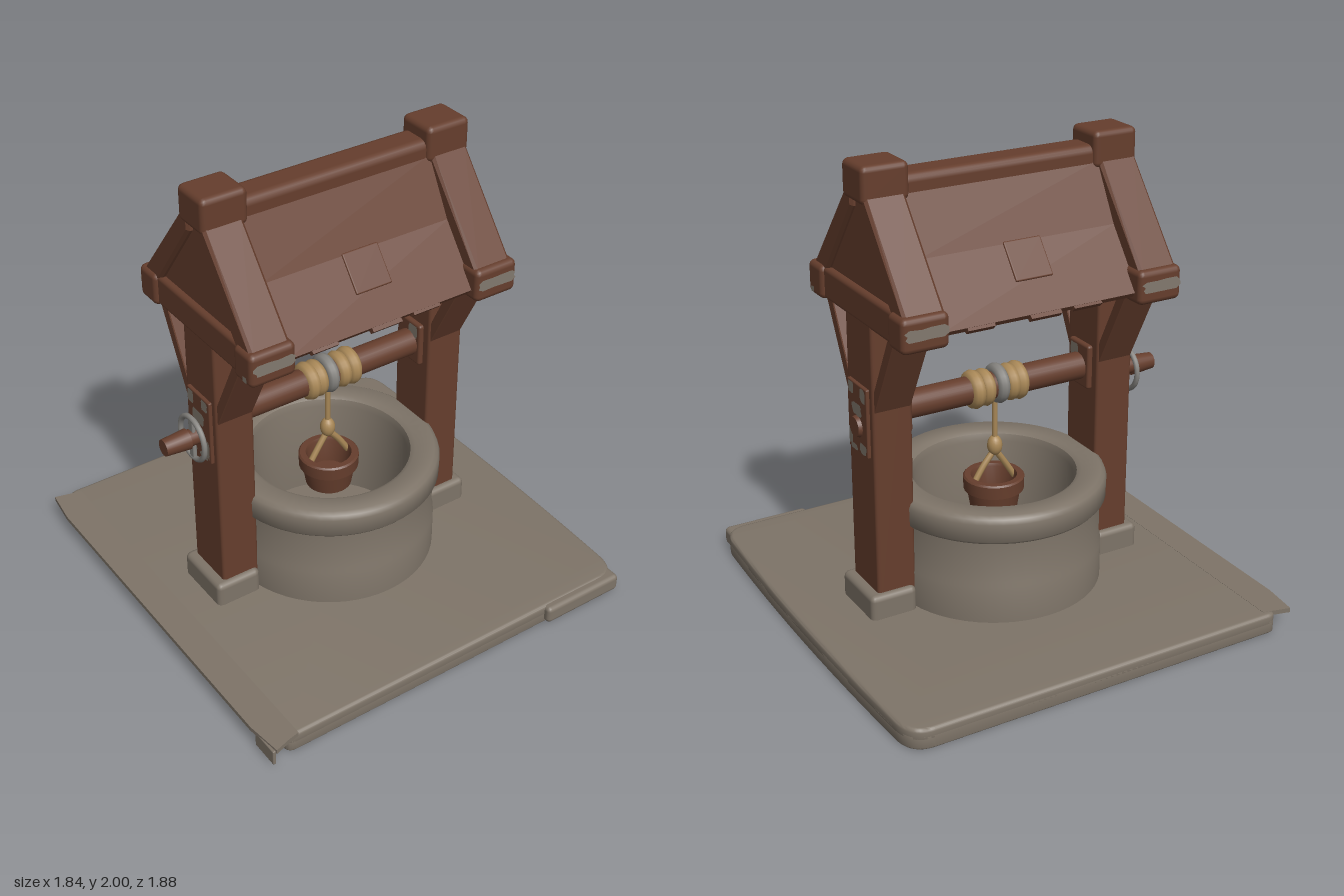
import * as THREE from 'three';
import { toCreasedNormals } from 'three/addons/utils/BufferGeometryUtils.js';
import { RoundedBoxGeometry } from 'three/addons/geometries/RoundedBoxGeometry.js';

const material = (name, color, extra = {}) => new THREE.MeshStandardMaterial({ name, color, ...extra });

export function createModel() {
  const wood = material('wood', 0x663e2d);
  const stone = material('stone', 0x7e7468);
  const metal = material('metal', 0x85837f);
  const rope = material('rope', 0xa98857);
  const worn = material('worn paint', 0x82796e, { side: THREE.DoubleSide });

  const model = new THREE.Group();
  model.name = 'well';
  const well = new THREE.Group();
  well.name = 'wellStructure';
  well.position.z = -0.015;
  model.add(well);

  let seed = 7;
  const random = () => (seed = (seed * 16807) % 2147483647) / 2147483647;

  function add(name, geometry, mat, parent = well) {
    const mesh = new THREE.Mesh(geometry, mat);
    mesh.name = name;
    parent.add(mesh);
    return mesh;
  }
  function box(name, mat, [x, y, z], [w, h, d], r = 0.02, parent = well) {
    const mesh = add(name, new RoundedBoxGeometry(w, h, d, 2, r), mat, parent);
    mesh.position.set(x, y, z);
    return mesh;
  }
  // Prism running along x, with a cross-section of [z, y] points
  function prism(name, mat, points, x0, x1, bevel = 0, parent = well) {
    const shape = new THREE.Shape(points.map(([z, y]) => new THREE.Vector2(-z, y)));
    const geo = new THREE.ExtrudeGeometry(shape, {
      depth: x1 - x0 - 2 * bevel, bevelEnabled: bevel > 0, bevelSize: bevel,
      bevelThickness: bevel, bevelOffset: -bevel, bevelSegments: 1,
    });
    geo.translate(0, 0, bevel).rotateY(Math.PI / 2).translate(x0, 0, 0);
    return add(name, geo, mat, parent);
  }
  // Cylinder along x
  function rod(name, mat, x0, x1, y, r, r2 = r) {
    const geo = new THREE.CylinderGeometry(r2, r, x1 - x0, 24).rotateZ(-Math.PI / 2);
    const mesh = add(name, geo, mat);
    mesh.position.set((x0 + x1) / 2, y, 0);
  }
  // Ring around the x axis
  function ring(name, mat, [x, y, z], radius, thick) {
    const mesh = add(name, new THREE.TorusGeometry(radius, thick, 10, 28).rotateY(Math.PI / 2), mat);
    mesh.position.set(x, y, z);
  }
  function tube(name, points, r) {
    const curve = new THREE.CatmullRomCurve3(points.map((p) => new THREE.Vector3(...p)));
    add(name, new THREE.TubeGeometry(curve, 12, r, 8), rope);
  }
  // Irregular flat patch of worn paint
  function patch(w, h, pos, rot, parent = well) {
    const pts = [];
    for (let i = 0; i < 14; i++) {
      const a = (i / 14) * Math.PI * 2, k = 0.8 + 0.4 * random();
      const sq = 1 / Math.max(Math.abs(Math.cos(a)), Math.abs(Math.sin(a)));
      const f = 0.5 * Math.min(k * sq, sq);
      pts.push(new THREE.Vector2(Math.cos(a) * w * f, Math.sin(a) * h * f));
    }
    const mesh = add('wornPatch', new THREE.ShapeGeometry(new THREE.Shape(pts)), worn, parent);
    mesh.position.set(...pos);
    mesh.rotation.set(...rot);
  }

  // Base slab outline, shrunk by m, with rounded right corners and a bowed right side
  function slabOutline(m, Type) {
    const [l, r, b, t, c] = [-0.83 + m, 0.9 - m, -0.91 + m, 0.94 - m, 0.11];
    const s = new Type();
    s.moveTo(l + 0.04, b).lineTo(r - c, b).quadraticCurveTo(r - 0.01, b, r, b + c);
    s.quadraticCurveTo(r + 0.04, (b + t) / 2, r, t - c).quadraticCurveTo(r - 0.01, t, r - c, t);
    s.lineTo(l + 0.04, t).quadraticCurveTo(l, t, l, t - 0.04);
    s.lineTo(l, b + 0.04).quadraticCurveTo(l, b, l + 0.04, b);
    return s;
  }
  function slabMesh(name, shape, y0, y1, bevel) {
    const geo = new THREE.ExtrudeGeometry(shape, {
      depth: y1 - y0 - 2 * bevel, bevelSize: bevel, bevelThickness: bevel, bevelOffset: -bevel, bevelSegments: 3,
    }).translate(0, 0, y0 + bevel).rotateX(-Math.PI / 2);
    add(name, toCreasedNormals(geo, 0.6), stone, model);
  }
  // Slab top, and the rim that leaves its underside hollow
  slabMesh('baseSlab', slabOutline(0, THREE.Shape), 0.03, 0.088, 0.015);
  const rim = slabOutline(0, THREE.Shape);
  rim.holes.push(slabOutline(0.045, THREE.Path));
  slabMesh('baseRim', rim, 0, 0.06, 0.006);
  const under = add('undersideDisc', new THREE.CylinderGeometry(0.4, 0.37, 0.02, 48), stone);
  under.position.y = 0.03;

  // Overhanging left strip with a drooping edge, flared at its ends
  const strip = new THREE.Shape();
  strip.moveTo(-0.9, 0.94).lineTo(-0.78, 0.91).lineTo(-0.78, -0.91).lineTo(-0.83, -0.92)
    .lineTo(-0.9, -0.94).lineTo(-0.92, -0.78).lineTo(-0.92, 0.78);
  add('baseEdgeStrip', new THREE.ExtrudeGeometry(strip, { depth: 0.02, bevelEnabled: false })
    .rotateX(-Math.PI / 2).translate(0, 0.069, 0), stone, model);
  box('stripLip', stone, [-0.907, 0.045, 0.87], [0.015, 0.07, 0.13], 0.005, model);
  box('frontCornerSlab', stone, [0.68, 0.045, 0.86], [0.4, 0.08, 0.16], 0.02, model);

  // Round stone well with an open shaft
  const wall = [[0.463, 0.07], [0.463, 0.25], [0.455, 0.27], [0.455, 0.46], [0.47, 0.46], [0.48, 0.472],
    [0.482, 0.55], [0.474, 0.57], [0.457, 0.582], [0.375, 0.582], [0.355, 0.57], [0.345, 0.54],
    [0.345, 0.1], [0, 0.1]].map((p) => new THREE.Vector2(...p));
  add('wellWall', toCreasedNormals(new THREE.LatheGeometry(wall, 56), 0.7), stone);

  // Post, foot, gable and fittings at each end
  for (const s of [-1, 1]) {
    const x = s * 0.53;
    box('postFoot', stone, [s * 0.555, 0.13, 0], [0.21, 0.13, 0.285], 0.025);
    box('post', wood, [x, 0.79, 0], [0.175, 1.3, 0.23], 0.015);
    box('tieBeam', wood, [x, 1.43, 0], [0.18, 0.14, 0.74], 0.02);
    box('ridgeBlock', wood, [s * 0.522, 1.925, 0], [0.205, 0.155, 0.185], 0.025);
    prism('gablePanel', wood, [[-0.33, 1.46], [0.33, 1.46], [0.05, 1.86], [-0.05, 1.86]], x - 0.065, x + 0.065);
    for (const f of [-1, 1]) {
      const side = (points) => points.map(([z, y]) => [z * f, y]);
      box('eaveBlock', wood, [s * 0.533, 1.43, f * 0.355], [0.205, 0.145, 0.13], 0.025);
      prism('rafter', wood, side([[0.09, 1.88], [0.4, 1.49], [0.3, 1.46], [0.03, 1.82], [0.03, 1.9]]),
        x - 0.09, x + 0.085, 0.012);
      prism('brace', wood, side([[0.1, 0.98], [0.1, 1.08], [0.25, 1.38], [0.305, 1.38]]), x - 0.08, x + 0.08, 0.004);
      patch(0.19, 0.05, [s * 0.533, 1.435, f * 0.422], [0, 0, 0]);
    }
    patch(0.03, 0.025, [s * 0.637, 1.385, 0.375], [0, Math.PI / 2, 0]);
    // Bearing plates on both faces of the post
    box('outerPlate', wood, [s * 0.617, 0.95, 0], [0.03, 0.3, 0.17], 0.006);
    box('innerPlate', wood, [s * 0.435, 0.97, 0], [0.03, 0.2, 0.15], 0.012);
    for (const [z, y, w, h] of [[0.05, 1.07, 0.05, 0.05], [-0.055, 1.065, 0.045, 0.06], [0, 0.99, 0.09, 0.06],
      [0.06, 0.86, 0.035, 0.09], [-0.05, 0.83, 0.06, 0.05], [0.03, 0.815, 0.06, 0.025]]) {
      patch(w, h, [s * 0.634, y, z], [0, Math.PI / 2, 0]);
    }
    patch(0.06, 0.06, [s * 0.418, 1.03, 0.03], [0, Math.PI / 2, 0]);
  }

  // Roof decks bent outward at the eaves, with uneven board ends
  for (const f of [-1, 1]) {
    const slope = new THREE.Group();
    slope.name = f > 0 ? 'frontRoof' : 'backRoof';
    if (f < 0) slope.rotation.y = Math.PI;
    well.add(slope);
    prism('roofDeck', wood, [[0, 1.92], [0.07, 1.88], [0.2, 1.645], [0.385, 1.408], [0.37, 1.388],
      [0.33, 1.39], [0.14, 1.62], [0, 1.8]], -0.45, 0.45, 0, slope);
    for (const [x0, x1, e] of [[-0.34, -0.22, 0.006], [-0.06, 0.08, 0.009], [0.14, 0.27, 0.005]]) {
      prism('boardEnd', wood, [[0.36, 1.43], [0.388 + e, 1.404 - e], [0.37 + e, 1.386 - e], [0.34, 1.4]], x0, x1, 0, slope);
    }
    const tab = box('roofTab', wood, [0.01, 1.585, 0.247], [0.17, 0.17, 0.014], 0.006, slope);
    tab.rotation.x = -0.67;
    for (const [x, w, h] of [[-0.22, 0.18, 0.24], [0.08, 0.13, 0.2], [0.3, 0.12, 0.14]]) {
      patch(w, h, [x, 1.502, 0.231], [2.45, 0, 0], slope);
    }
  }
  box('ridgeBeam', wood, [0, 1.88, 0], [0.9, 0.13, 0.15], 0.035);

  // Windlass axle with its crank
  rod('axle', wood, -0.45, 0.45, 0.96, 0.06);
  rod('axleEnd', wood, 0.62, 0.648, 0.915, 0.05, 0.042);
  rod('crankShaft', wood, -0.71, -0.62, 0.905, 0.036);
  rod('crankGrip', wood, -0.8, -0.69, 0.905, 0.036, 0.045);
  ring('crankRing', metal, [-0.665, 0.9, 0], 0.095, 0.012);
  box('crankBar', metal, [-0.665, 0.9, 0], [0.018, 0.21, 0.035], 0.006);

  // Thick rope coils around the axle, with a metal band between
  for (const [x, radius] of [[-0.108, 0.053], [-0.068, 0.05], [0.05, 0.05], [0.1, 0.053]]) {
    ring('ropeCoil', rope, [x, 0.96, 0], radius, 0.031);
  }
  ring('axleBand', metal, [-0.015, 0.965, 0], 0.06, 0.027);

  // Hanging rope, knot and bucket
  tube('hangingRope', [[-0.005, 0.93, 0], [-0.005, 0.8, 0], [-0.005, 0.66, 0]], 0.012);
  const knot = add('knot', new THREE.SphereGeometry(0.033, 16, 12).scale(1, 1.4, 1), rope);
  knot.position.set(-0.005, 0.68, 0);
  for (const s of [-1, 1]) tube('bucketRope', [[-0.005, 0.66, 0], [s * 0.05, 0.595, 0], [s * 0.105, 0.51, 0]], 0.014);
  const bucket = [[0, 0.39], [0.1, 0.39], [0.115, 0.48], [0.13, 0.485], [0.132, 0.54], [0.125, 0.547],
    [0.1, 0.547], [0.095, 0.535], [0.085, 0.43], [0, 0.43]].map((p) => new THREE.Vector2(...p));
  add('bucket', toCreasedNormals(new THREE.LatheGeometry(bucket, 28), 0.6), wood);

  return model;
}
